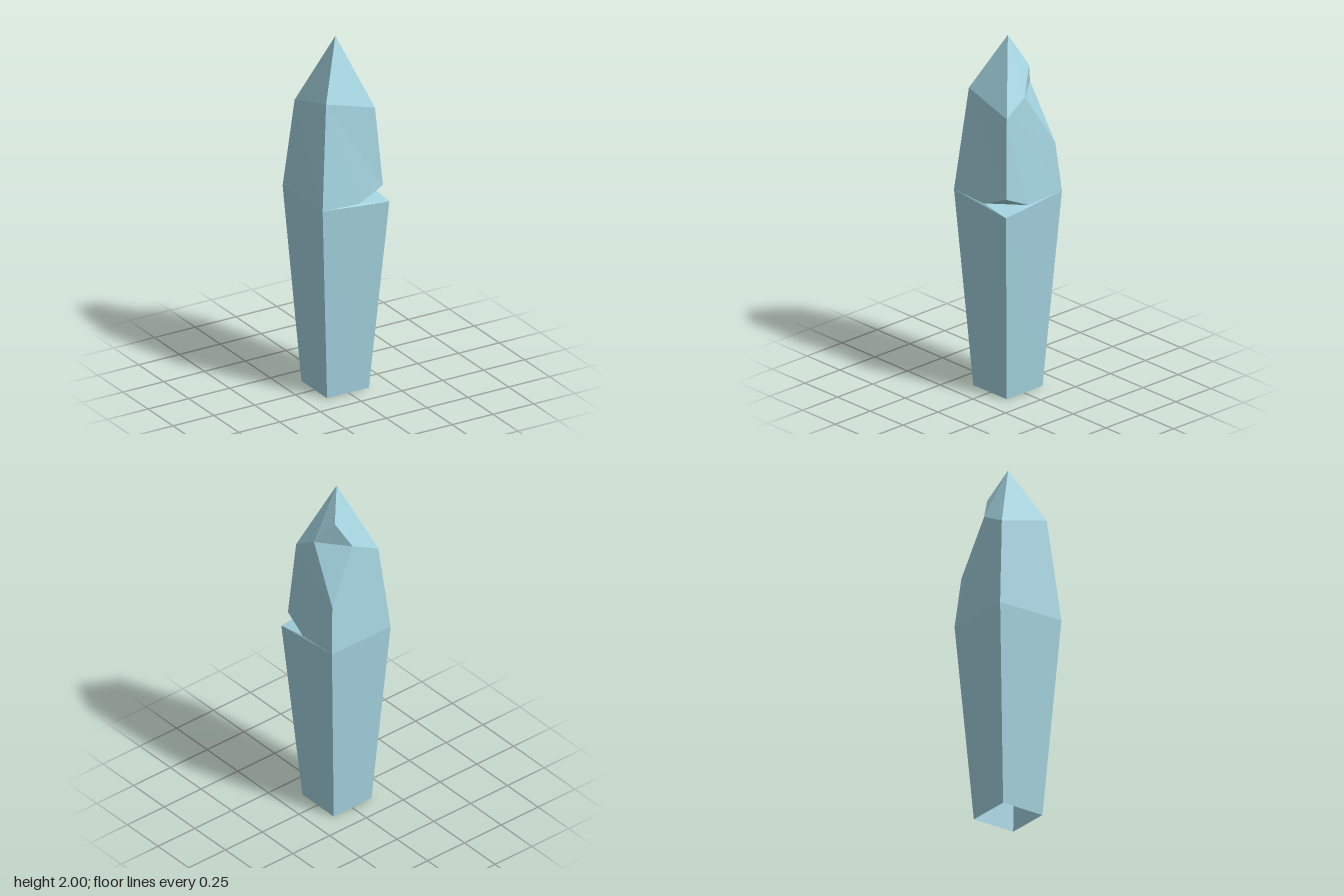
import * as THREE from 'three';

// Corners of the shard: F/B = front/back (z), L/R = +x / -x side
const P = {
  tip: [-0.003, 2, -0.003],
  // shoulder below the pointed cap
  shFR: [-0.148, 1.695, 0.14], shFL: [0.148, 1.61, 0.146], shBR: [-0.157, 1.61, -0.159],
  // widest ring
  midFR: [-0.203, 1.115, 0.195], midBR: [-0.203, 1.11, -0.204], midBL: [0.196, 1.115, -0.204],
  // open foot
  footFR: [-0.132, 0, 0.124], footFL: [0.124, 0, 0.124],
  footBL: [0.124, 0, -0.132], footBR: [-0.132, 0, -0.132],
  // chip near the top of the back left edge
  chipTop: [0.075, 1.83, -0.082], chipSide: [0.14, 1.695, 0.01],
  chipBack: [0.01, 1.695, -0.15], chipLow: [0.172, 1.39, -0.178],
  // notch across the front left edge
  nickTop: [0.178, 1.17, 0.177], nickLip: [0.202, 1.08, 0.202],
  nickFront: [0.022, 1.105, 0.193], nickSide: [0.195, 1.103, 0.035],
};

// Each facet lists its corners counter-clockwise from outside
const PARTS = {
  lowerShaft: [
    'midFR footFR footFL nickLip nickFront',
    'nickLip footFL footBL midBL nickSide',
    'midBL footBL footBR midBR',
    'midBR footBR footFR midFR',
  ],
  upperShaft: [
    'shFR midFR nickFront nickTop shFL',
    'shFL nickTop nickSide midBL chipLow chipSide',
    'chipBack chipLow midBL midBR shBR',
    'shBR midBR midFR shFR',
  ],
  pointedCap: [
    'tip shFR shFL',
    'tip shFL chipSide chipTop',
    'tip chipTop chipBack shBR',
    'tip shBR shFR',
  ],
  cornerChip: ['chipTop chipSide chipBack', 'chipSide chipLow chipBack'],
  edgeNotch: ['nickLip nickSide nickFront', 'nickTop nickFront nickSide'],
};

// Fan-triangulate facets into a flat-shaded shell
function facetGeometry(facets) {
  const positions = [];
  for (const facet of facets) {
    const c = facet.split(' ').map((name) => P[name]);
    for (let i = 1; i < c.length - 1; i++) positions.push(...c[0], ...c[i], ...c[i + 1]);
  }
  const geometry = new THREE.BufferGeometry();
  geometry.setAttribute('position', new THREE.Float32BufferAttribute(positions, 3));
  geometry.computeVertexNormals();
  return geometry;
}

export function createModel() {
  const crystal = new THREE.MeshStandardMaterial({
    name: 'paleBlueCrystal', color: 0xa3d3df, flatShading: true, side: THREE.DoubleSide,
  });
  const group = new THREE.Group();
  group.name = 'crystalShard';
  for (const [name, facets] of Object.entries(PARTS)) {
    const mesh = new THREE.Mesh(facetGeometry(facets), crystal);
    mesh.name = name;
    group.add(mesh);
  }
  return group;
}
